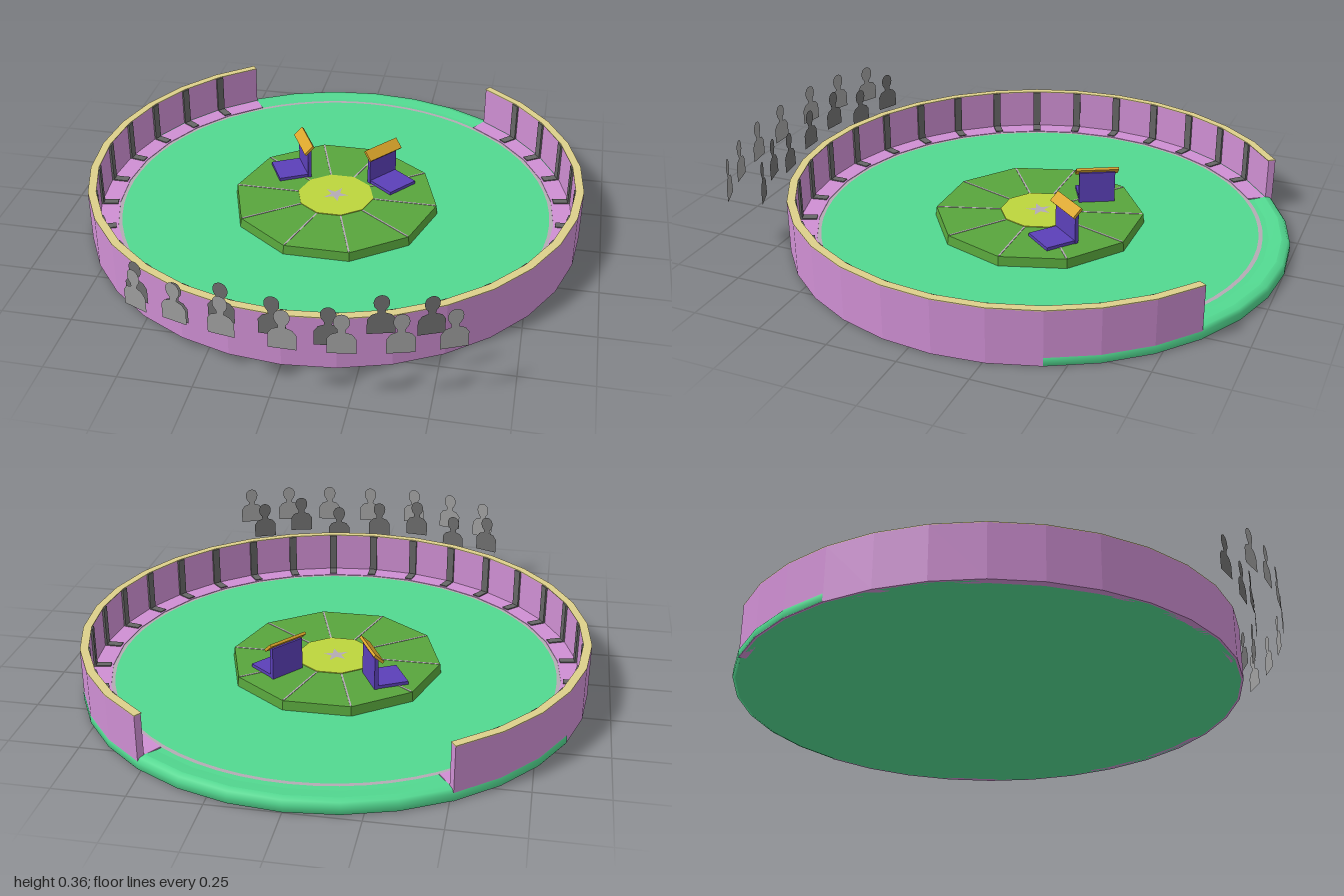
import * as THREE from 'three';

const SEG = Math.PI / 16;      // one facet of the 32-sided ring
const CZ = -0.08;              // centre of the arena
const mat = (color, flat = true) =>
  new THREE.MeshStandardMaterial({ color, flatShading: flat, side: THREE.DoubleSide });
const PINK = mat(0xcf8fd3), GREEN = mat(0x52d890), RIM = mat(0xddd08a), DARK = mat(0x666666),
  STAGE = mat(0x58a53c), LIME = mat(0xbdd53c), PURPLE = mat(0x5b40b8), GOLD = mat(0xdaa52a),
  SILVER = mat(0xb4aab4), CROWD_FRONT = mat(0x707070), CROWD_BACK = mat(0xa0a0a0);

function add(parent, name, geometry, material, x = 0, y = 0, z = 0) {
  const mesh = new THREE.Mesh(geometry, material);
  mesh.name = name;
  mesh.position.set(x, y, z);
  parent.add(mesh);
  return mesh;
}

// Solid faceted arc from facet a to facet b, counted from the front (+z)
function arc(r0, r1, y0, y1, a, b) {
  const pts = [];
  const at = (r, i) => new THREE.Vector2(r * Math.sin(i * SEG), -r * Math.cos(i * SEG));
  for (let i = a; i <= b; i++) pts.push(at(r1, i));
  for (let i = b; i >= a; i--) pts.push(at(r0, i));
  const g = new THREE.ExtrudeGeometry(new THREE.Shape(pts), { depth: y1 - y0, bevelEnabled: false });
  return g.rotateX(-Math.PI / 2).translate(0, y0, 0);
}

// Head-and-shoulders cut-out, standing on y = 0
function spectatorShape() {
  const s = new THREE.Shape();
  s.moveTo(-0.045, 0);
  s.lineTo(0.045, 0);
  s.lineTo(0.045, 0.055);
  s.lineTo(0.032, 0.073);
  s.lineTo(0.012, 0.08);
  s.lineTo(0.014, 0.092);
  s.quadraticCurveTo(0.026, 0.103, 0.025, 0.122);
  s.quadraticCurveTo(0.022, 0.145, 0, 0.147);
  s.quadraticCurveTo(-0.022, 0.145, -0.025, 0.122);
  s.quadraticCurveTo(-0.026, 0.103, -0.014, 0.092);
  s.lineTo(-0.012, 0.08);
  s.lineTo(-0.032, 0.073);
  s.lineTo(-0.045, 0.055);
  return s;
}

// Lectern: upright panel, foot plate on its outer side, sloping desk on top
function lectern(name, x, z, nx, nz) {
  const g = new THREE.Group();
  g.name = name;
  g.position.set(x, 0.075, z);
  g.rotation.y = Math.atan2(nx, nz);
  add(g, 'footPlate', new THREE.BoxGeometry(0.13, 0.012, 0.12), PURPLE, 0, 0.006, 0.06);
  add(g, 'panel', new THREE.BoxGeometry(0.135, 0.12, 0.014), PURPLE, 0, 0.06, 0);
  const desk = add(g, 'desk', new THREE.BoxGeometry(0.16, 0.01, 0.045), GOLD, 0, 0.124, 0.004);
  desk.rotation.x = 0.75;
  return g;
}

export function createModel() {
  const model = new THREE.Group();
  model.name = 'arena';
  const arena = new THREE.Group();
  arena.name = 'ring';
  arena.position.z = CZ;
  model.add(arena);

  // Floor slab and the rounded lip round the open back
  add(arena, 'floor', new THREE.CylinderGeometry(0.912, 0.912, 0.04, 32), GREEN, 0, 0.02, 0);
  const lip = [[0.83, 0.038], [0.86, 0.042], [0.89, 0.045], [0.912, 0.041], [0.922, 0.028], [0.922, 0.003], [0.91, 0]]
    .map(p => new THREE.Vector2(...p)).reverse();
  add(arena, 'backLip', new THREE.LatheGeometry(lip.slice(0, 5), 12, Math.PI - 6 * SEG, 12 * SEG), mat(0x52d890, false));
  add(arena, 'backLipSlope', new THREE.LatheGeometry(lip.slice(4), 6, Math.PI - 3 * SEG, 6 * SEG), mat(0x52d890, false));
  add(arena, 'floorLine', new THREE.RingGeometry(0.808, 0.823, 64).rotateX(-Math.PI / 2), SILVER, 0, 0.042, 0);

  // Wall with its rim and inner ledge, open at the back
  add(arena, 'wall', arc(0.893, 0.92, 0, 0.197, -13, 13), PINK);
  add(arena, 'rim', arc(0.89, 0.92, 0.197, 0.2, -13, 13), RIM);
  add(arena, 'ledge', arc(0.823, 0.893, 0.035, 0.044, -13, 13), PINK);

  // Posts on the wall, each with a foot across the ledge
  for (let i = -12; i <= 12; i++) {
    const post = new THREE.Group();
    post.name = 'post';
    post.rotation.y = i * SEG;
    add(post, 'upright', new THREE.BoxGeometry(0.03, 0.153, 0.008), DARK, 0, 0.1205, 0.888);
    add(post, 'foot', new THREE.BoxGeometry(0.03, 0.006, 0.06), DARK, 0, 0.045, 0.86);
    arena.add(post);
  }

  // Ten-sided stage with spokes, centre disc and star
  const decagon = (r0, r1, h) => new THREE.CylinderGeometry(r0, r1, h, 10, 1, false, Math.PI / 10);
  add(arena, 'stage', decagon(0.386, 0.39, 0.035), STAGE, 0, 0.0575, 0);
  add(arena, 'centreDisc', decagon(0.145, 0.145, 0.003), LIME, 0, 0.0765, 0);
  for (let i = 0; i < 10; i++) {
    const a = Math.PI / 10 + i * Math.PI / 5;
    const spoke = add(arena, 'spoke', new THREE.BoxGeometry(0.006, 0.002, 0.235), SILVER,
      0.264 * Math.sin(a), 0.0755, 0.264 * Math.cos(a));
    spoke.rotation.y = a;
  }
  const star = [];
  for (let i = 0; i < 10; i++) {
    const r = i % 2 ? 0.018 : 0.05, a = i * Math.PI / 5;
    star.push(new THREE.Vector2(r * Math.cos(a), r * Math.sin(a)));
  }
  add(arena, 'star', new THREE.ShapeGeometry(new THREE.Shape(star)).rotateX(-Math.PI / 2), SILVER, 0, 0.079, 0);

  // Two lecterns, facing the stage centre
  model.add(lectern('leftLectern', 0.15, -0.245, 0.78, 0.62));
  model.add(lectern('rightLectern', -0.155, -0.25, -0.89, 0.46));

  // Two curved rows of flat spectators: [x, base height]
  const rows = [
    { name: 'frontSpectator', m: CROWD_FRONT, cx: -0.01, z: 0.9, people: [[-0.48, 0.17], [-0.335, 0.145],
      [-0.175, 0.19], [-0.01, 0.17], [0.165, 0.145], [0.325, 0.19], [0.475, 0.17]] },
    { name: 'backSpectator', m: CROWD_BACK, cx: 0.05, z: 0.997, people: [[-0.455, 0.2], [-0.31, 0.21],
      [-0.15, 0.21], [0.045, 0.2], [0.225, 0.2], [0.4, 0.2], [0.555, 0.2]] },
  ];
  const cutout = new THREE.ShapeGeometry(spectatorShape(), 6);
  for (const row of rows) for (const [x, y] of row.people) {
    const a = Math.asin((x - row.cx) / 1.25);
    add(model, row.name, cutout, row.m, x, y, row.z - 1.25 * (1 - Math.cos(a))).rotation.y = a;
  }
  return model;
}
